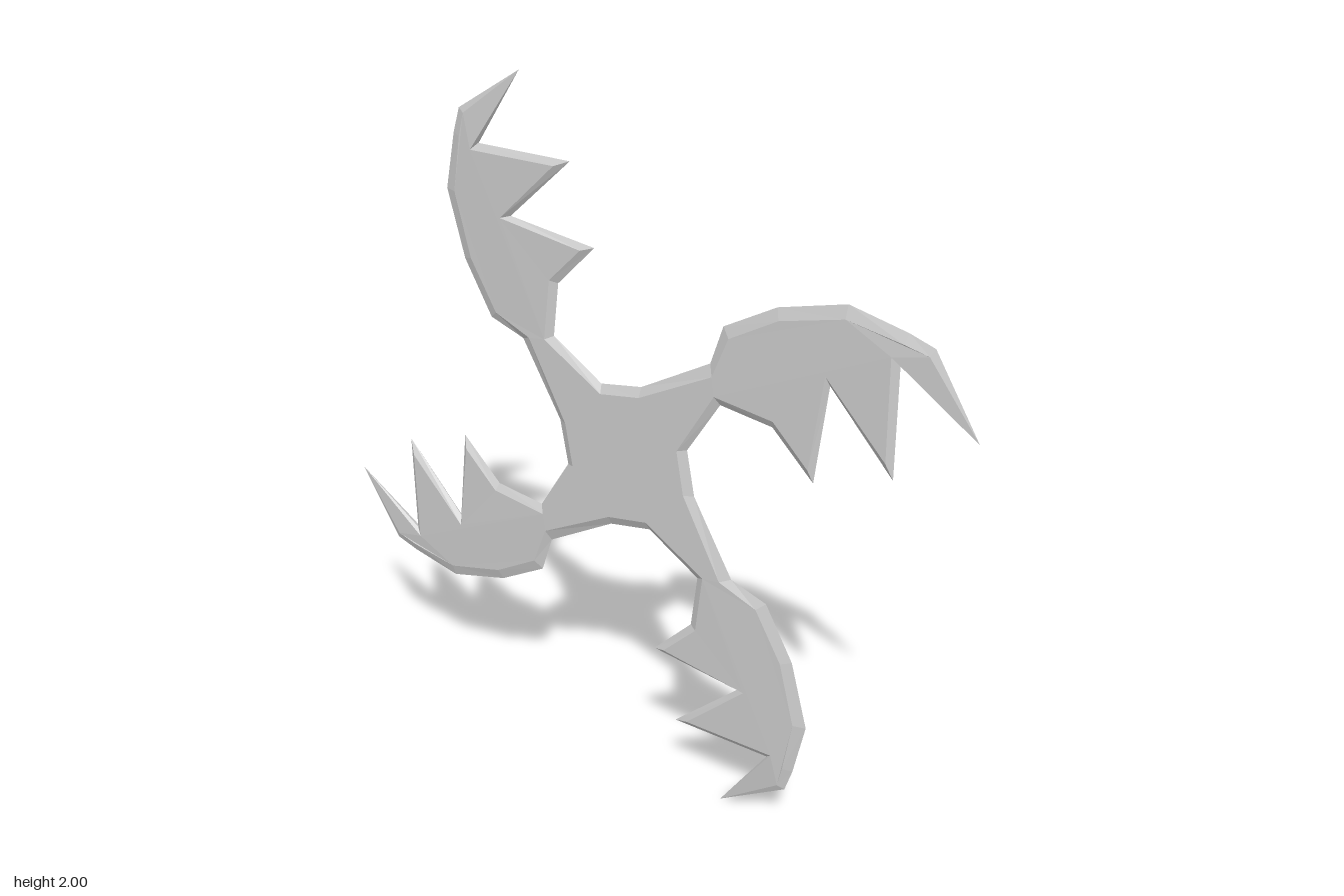
import * as THREE from 'three';

// One arm about the hub centre: outer edge x, y, then bevelled face x, y, half thickness
const ARM = [
  [0.05, 0.222, 0.05, 0.195, 0.013],   // 0 hub rim
  [0.262, 0.345, 0.275, 0.315, 0.013], // 1 neck, back side
  [0.298, 0.455, 0.32, 0.43, 0.011],   // 2 back of the blade
  [0.45, 0.542, 0.46, 0.512, 0.011],
  [0.64, 0.595, 0.64, 0.56, 0.011],
  [0.8, 0.562, 0.795, 0.535, 0.011],
  [0.87, 0.54, 0.86, 0.52, 0.008],
  [1.0, 0.333, 1.0, 0.333, 0],         // 7 point
  [0.785, 0.478, 0.766, 0.497, 0.013], // 8 root of outer tooth
  [0.79, 0.175, 0.772, 0.22, 0.012],   // 9 outer tooth
  [0.605, 0.375, 0.597, 0.403, 0.013], // 10 root of inner tooth
  [0.574, 0.1, 0.562, 0.138, 0.012],   // 11 inner tooth
  [0.45, 0.22, 0.457, 0.242, 0.012],
  [0.295, 0.238, 0.283, 0.262, 0.013], // 13 neck, toothed side
  [0.197, 0.08, 0.172, 0.075, 0.013],  // 14 hub rim
];
const OUT = ARM.map(([x, y]) => new THREE.Vector3(x, y, 0));
const FACE = ARM.map((p) => new THREE.Vector3(p[2], p[3], p[4]));
const turn = (v, k) => v.clone().applyAxisAngle(new THREE.Vector3(0, 0, 1), (k * Math.PI) / 2);

// Collects front triangles together with their mirrored back triangles
function builder() {
  const pos = [];
  const tri = (a, b, c) => {
    const area = (b.x - a.x) * (c.y - a.y) - (b.y - a.y) * (c.x - a.x);
    if (Math.abs(area) < 1e-9) return;
    if (area < 0) [b, c] = [c, b];
    for (const v of [a, b, c]) pos.push(v.x, v.y, v.z);
    for (const v of [a, c, b]) pos.push(v.x, v.y, -v.z);
  };
  return {
    polygon(pts) {
      const flat = pts.map((p) => new THREE.Vector2(p.x, p.y));
      for (const [a, b, c] of THREE.ShapeUtils.triangulateShape(flat, [])) tri(pts[a], pts[b], pts[c]);
    },
    bevel(o1, o2, f1, f2) {
      tri(o1, o2, f2);
      tri(o1, f2, f1);
    },
    geometry() {
      const g = new THREE.BufferGeometry();
      g.setAttribute('position', new THREE.Float32BufferAttribute(pos, 3));
      g.computeVertexNormals();
      return g;
    },
  };
}

export function createModel() {
  const group = new THREE.Group();
  const material = new THREE.MeshStandardMaterial({ color: 0xcccccc, flatShading: true });
  const add = (name, geometry) => {
    const mesh = new THREE.Mesh(geometry, material);
    mesh.name = name;
    group.add(mesh);
    return mesh;
  };

  // Hub with four necks
  const hub = builder();
  const rim = [];
  for (let k = 0; k < 4; k++) {
    const o = (i) => turn(OUT[i], -k);
    const f = (i) => turn(FACE[i], -k);
    rim.push(f(0), f(1), f(13), f(14));
    hub.bevel(o(0), o(1), f(0), f(1));
    hub.bevel(o(13), o(14), f(13), f(14));
    hub.bevel(o(14), turn(OUT[0], -k - 1), f(14), turn(FACE[0], -k - 1));
  }
  hub.polygon(rim);
  add('hub', hub.geometry()).position.y = 1;

  // Hooked blade, creased along the roots of its teeth
  const blade = builder();
  const facets = [[1, 2, 3, 4, 5, 6, 7, 8, 10, 13], [8, 9, 10], [10, 11, 12, 13]];
  for (const ids of facets) blade.polygon(ids.map((i) => FACE[i]));
  for (let i = 1; i < 13; i++) blade.bevel(OUT[i], OUT[i + 1], FACE[i], FACE[i + 1]);
  const bladeGeometry = blade.geometry();
  ['rightBlade', 'lowerBlade', 'leftBlade', 'upperBlade'].forEach((name, k) => {
    const mesh = add(name, bladeGeometry);
    mesh.rotation.z = (-k * Math.PI) / 2;
    mesh.position.y = 1;
  });
  return group;
}
